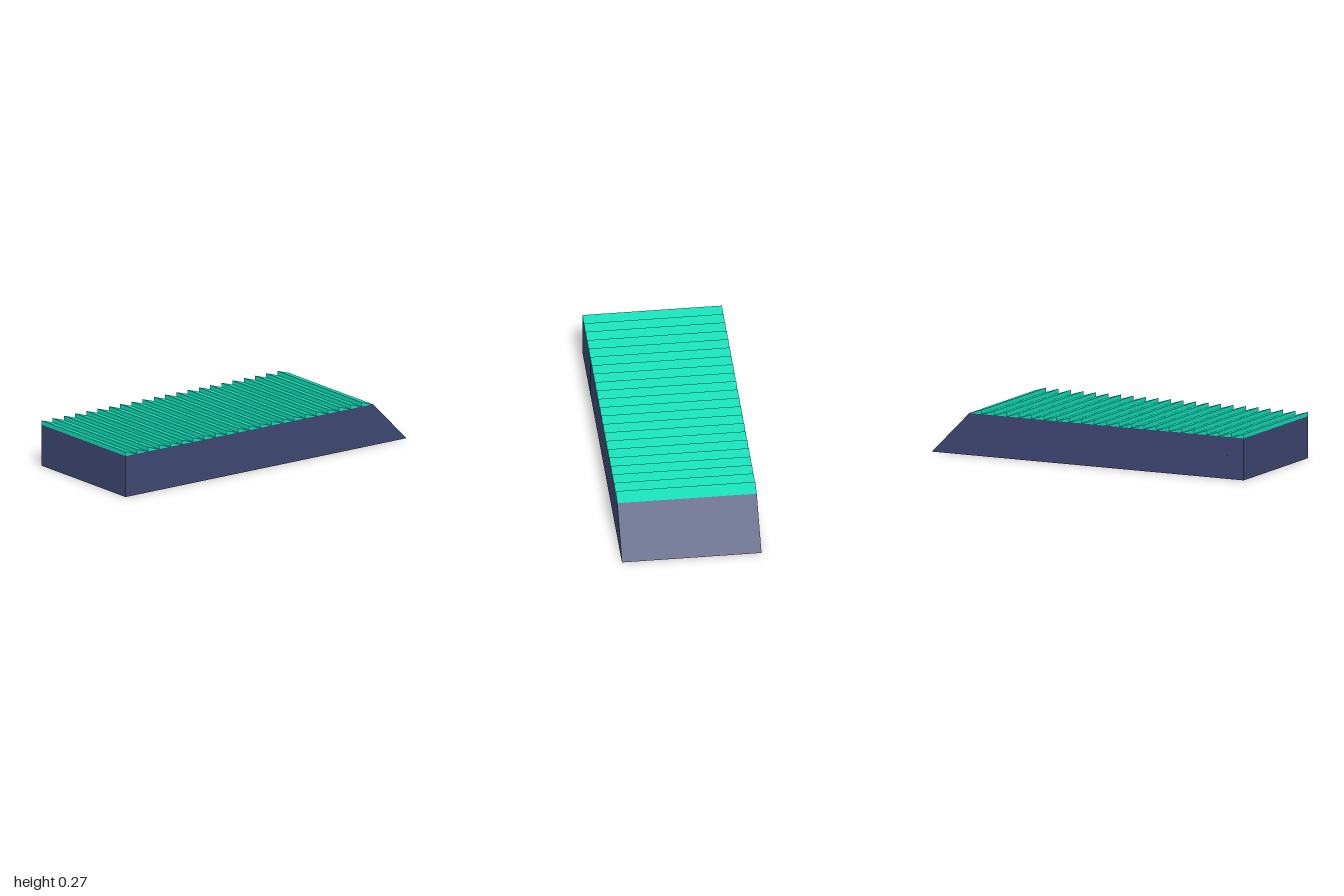
import * as THREE from 'three';

const WIDTH = 0.8, WALL = 0.243, RIDGE = 0.268;
const TEETH = 22, PITCH = 0.08;

const navy = new THREE.MeshStandardMaterial({ color: 0x3d4671, flatShading: true });
const green = new THREE.MeshStandardMaterial({ color: 0x0fdcb6, flatShading: true });

// Extrudes a side profile of [z, y] points across the full width.
function sideProfile(points, material, name) {
  const shape = new THREE.Shape(points.map(([z, y]) => new THREE.Vector2(-z, y)));
  const geometry = new THREE.ExtrudeGeometry(shape, { depth: WIDTH, bevelEnabled: false });
  geometry.translate(0, 0, -WIDTH / 2);
  geometry.rotateY(Math.PI / 2);
  const mesh = new THREE.Mesh(geometry, material);
  mesh.name = name;
  return mesh;
}

function box(w, h, d, x, y, z, name) {
  const mesh = new THREE.Mesh(new THREE.BoxGeometry(w, h, d), navy);
  mesh.position.set(x, y, z);
  mesh.name = name;
  return mesh;
}

export function createModel() {
  const model = new THREE.Group();
  model.name = 'sawtoothRoofHall';

  // Long hall with a sloping back
  model.add(sideProfile([[1, 0], [-1, 0], [-0.76, WALL], [1, WALL]], navy, 'hall'));

  // Sawtooth roof: upright face to the front, slope falling to the back
  const roof = new THREE.Group();
  roof.name = 'sawtoothRoof';
  for (let i = 0; i < TEETH; i++) {
    const z = 1 - i * PITCH;
    roof.add(sideProfile([[z, WALL], [z - PITCH, WALL], [z, RIDGE]], green, 'roofTooth'));
  }
  model.add(roof);

  // Thin wall seam on each side
  for (const side of [-1, 1]) {
    model.add(box(0.002, WALL, 0.003, side * 0.4, WALL / 2, 0.6, 'wallSeam'));
  }

  // Slim door on the right-hand side
  model.add(box(0.002, 0.137, 0.075, -0.4, 0.0685, 0.885, 'sideDoor'));

  return model;
}
